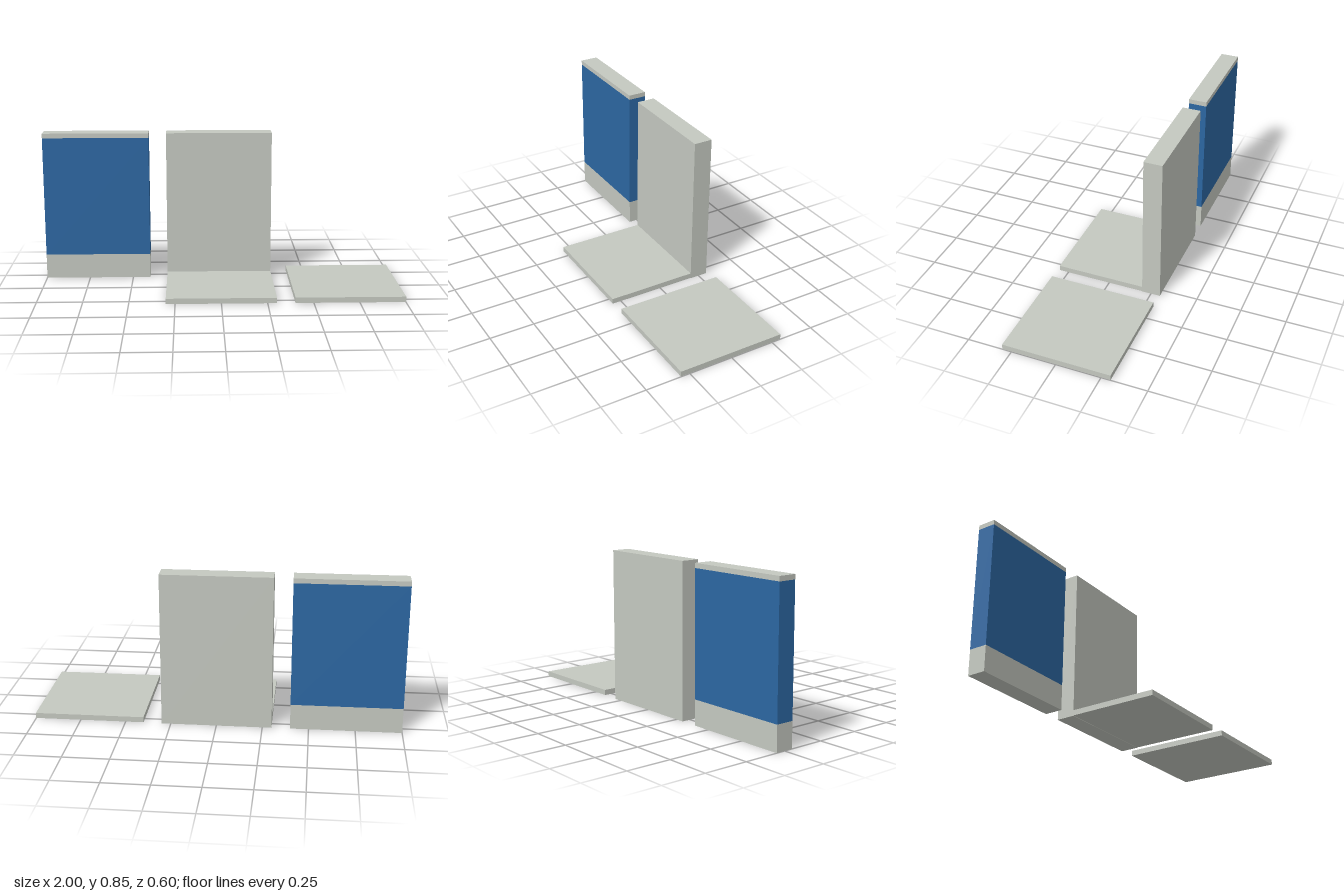
import * as THREE from 'three';

export function createModel() {
  const model = new THREE.Group();
  const plaster = new THREE.MeshStandardMaterial({ color: 0xc4c8c0 });
  plaster.name = 'pale grey';
  const paint = new THREE.MeshStandardMaterial({ color: 0x2c67a2 });
  paint.name = 'blue';

  const WIDTH = 0.6, HEIGHT = 0.848, BACK = -0.302;

  // Box given by its centre x, its y range and its z range
  function slab(name, x, y0, y1, z0, z1, segments = 1, material = plaster) {
    const geometry = new THREE.BoxGeometry(WIDTH, y1 - y0, z1 - z0, 1, segments, 1);
    geometry.translate(0, (y0 + y1) / 2, 0);
    const mesh = new THREE.Mesh(geometry, material);
    mesh.name = name;
    mesh.position.set(x, 0, (z0 + z1) / 2);
    model.add(mesh);
    return mesh;
  }

  // Painted wall: one box in three bands, the middle one blue on all four sides
  const bandLow = 0.14, bandHigh = 0.822;
  const wall = slab('paintedWall', -0.7, 0, HEIGHT, BACK, -0.2, 3, [plaster, paint]);
  const pos = wall.geometry.attributes.position;
  for (let i = 0; i < pos.count; i++) {
    const row = Math.round((pos.getY(i) / HEIGHT) * 3);
    pos.setY(i, [0, bandLow, bandHigh, HEIGHT][row]);
  }
  const sides = wall.geometry.groups.slice();
  wall.geometry.clearGroups();
  for (const { start, count } of sides) {
    if (count === 18) {
      [0, 1, 0].forEach((m, row) => wall.geometry.addGroup(start + row * 6, 6, m));
    } else {
      wall.geometry.addGroup(start, count, 0);
    }
  }

  // Plain wall standing on its floor
  slab('plainWall', 0, 0, HEIGHT, BACK, -0.198);
  slab('middleFloor', 0, 0.002, 0.032, BACK, 0.302);

  // Separate floor tile
  slab('floorTile', 0.7, 0.002, 0.032, BACK, 0.302);

  return model;
}
